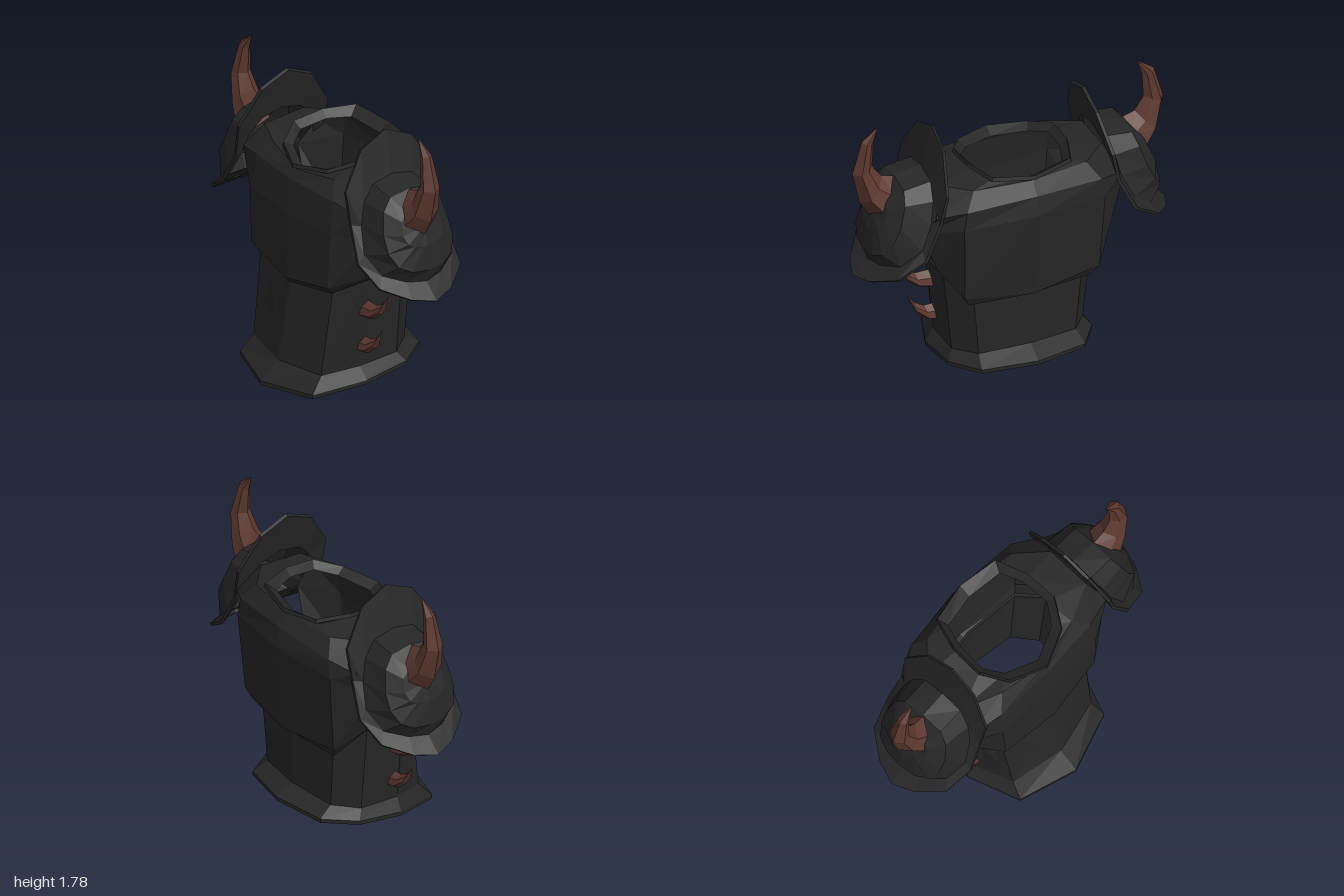
import * as THREE from 'three';

const plate = new THREE.MeshStandardMaterial({ color: 0x262626, flatShading: true, side: THREE.DoubleSide });
plate.name = 'blackPlate';
const horn = new THREE.MeshStandardMaterial({ color: 0x5c382f, flatShading: true, side: THREE.DoubleSide });
horn.name = 'brownHorn';

// Skin a stack of equal-length point loops; skip(i, j) leaves a quad open
function loft(name, rings, material, skip = () => false) {
  const pos = [];
  for (let i = 0; i < rings.length - 1; i++) {
    const n = rings[i].length;
    for (let j = 0; j < n; j++) {
      if (skip(i, j)) continue;
      const k = (j + 1) % n;
      const a = rings[i][j], b = rings[i][k], c = rings[i + 1][k], d = rings[i + 1][j];
      pos.push(...a, ...b, ...c, ...a, ...c, ...d);
    }
  }
  const geo = new THREE.BufferGeometry();
  geo.setAttribute('position', new THREE.Float32BufferAttribute(pos, 3));
  geo.computeVertexNormals();
  const mesh = new THREE.Mesh(geo, material);
  mesh.name = name;
  return mesh;
}

// Complete a half loop (first and last points lie on the mirror plane)
const mirrorX = h => [...h, ...h.slice(1, -1).reverse().map(([x, y, z]) => [-x, y, z])];
const mirrorZ = h => [...h, ...h.slice(1, -1).reverse().map(([x, y, z]) => [x, y, -z])];
const shift = (ring, dx, dy, dz) => ring.map(([x, y, z]) => [x + dx, y + dy, z + dz]);
const shrink = (ring, k) => ring.map(([x, y, z]) => [x * k, y, z * k]);
// Put rings on the model's left (s = 1) or right (s = -1)
const onSide = (rings, s) => s > 0 ? rings : rings.map(r => r.map(([x, y, z]) => [-x, y, z]).reverse());

// Horn from sections: [upper x, upper y, lower x, lower y, half depth]
function makeHorn(name, sections, s, dx, dy, z) {
  const rings = sections.map(([ux, uy, lx, ly, d]) => {
    const at = (t, w) => [ux + (lx - ux) * t, uy + (ly - uy) * t, w];
    return shift(mirrorZ([at(0, 0), at(0.3, d * 0.8), at(0.7, d), at(1, 0)]), dx, dy, z);
  });
  return loft(name, onSide(rings, s), horn);
}

export function createModel() {
  const model = new THREE.Group();
  model.name = 'hornedBreastplate';

  // Abdomen with flared hem, thick at the lower edge
  const hem = mirrorX([[0, 0, 0.49], [0.36, 0.02, 0.38], [0.475, 0.075, 0.07], [0.46, 0.11, -0.22], [0.33, 0.13, -0.41], [0, 0.145, -0.48]]);
  const hemTop = shift(hem, 0, 0.025, 0);
  const waist = mirrorX([[0, 0.13, 0.37], [0.335, 0.14, 0.3], [0.42, 0.175, 0.08], [0.42, 0.19, -0.18], [0.31, 0.21, -0.32], [0, 0.23, -0.37]]);
  const midriff = mirrorX([[0, 0.76, 0.25], [0.36, 0.77, 0.22], [0.48, 0.79, 0.08], [0.48, 0.79, -0.18], [0.36, 0.78, -0.33], [0, 0.78, -0.37]]);
  model.add(loft('abdomen', [shrink(midriff, 0.96), shrink(waist, 0.95), shrink(hem, 0.97), hem, hemTop, waist, midriff, shrink(midriff, 0.96)], plate));

  // Chest shell with open armholes
  const neck = mirrorX([[0, 1.34, 0.19], [0.2, 1.37, 0.11], [0.28, 1.41, 0], [0.27, 1.43, -0.18], [0.22, 1.42, -0.32], [0, 1.4, -0.355]]);
  const chest = [
    mirrorX([[0, 0.6, 0.267], [0.36, 0.67, 0.24], [0.49, 0.76, 0.1], [0.49, 0.76, -0.2], [0.39, 0.6, -0.36], [0, 0.59, -0.385]]),
    mirrorX([[0, 0.65, 0.315], [0.38, 0.72, 0.285], [0.53, 0.8, 0.12], [0.53, 0.8, -0.22], [0.43, 0.67, -0.39], [0, 0.62, -0.43]]),
    mirrorX([[0, 1.05, 0.295], [0.4, 1.08, 0.28], [0.63, 1.08, 0.14], [0.64, 1.1, -0.24], [0.45, 1.18, -0.43], [0, 1.2, -0.49]]),
    mirrorX([[0, 1.27, 0.265], [0.38, 1.28, 0.25], [0.58, 1.24, 0.2], [0.59, 1.25, -0.34], [0.43, 1.3, -0.425], [0, 1.32, -0.46]]),
    mirrorX([[0, 1.33, 0.23], [0.3, 1.37, 0.18], [0.53, 1.37, 0.08], [0.53, 1.39, -0.2], [0.36, 1.4, -0.36], [0, 1.4, -0.4]]),
    neck,
  ];
  model.add(loft('chest', chest, plate, (i, j) => (i === 1 || i === 2) && (j === 2 || j === 7)));

  // Collar flaring out from the neck opening
  const rim = mirrorX([[0, 1.375, 0.26], [0.22, 1.4, 0.17], [0.32, 1.455, 0.02], [0.315, 1.475, -0.18], [0.25, 1.475, -0.38], [0, 1.45, -0.43]]);
  model.add(loft('collar', [shrink(neck, 1.05), shift(shrink(rim, 1.02), 0, -0.025, 0), rim, neck], plate));

  // Pauldron loops run from the top, round the front, to the bottom
  const flange = mirrorZ([[0.49, 1.71, 0], [0.5, 1.63, 0.18], [0.54, 1.41, 0.32], [0.58, 1.21, 0.31], [0.68, 1.0, 0.33], [0.84, 0.89, 0.29], [0.95, 0.82, 0.14], [1.0, 0.795, 0]]);
  const seam = mirrorZ([[0.56, 1.45, 0], [0.56, 1.42, 0.14], [0.58, 1.33, 0.22], [0.61, 1.2, 0.26], [0.68, 1.05, 0.29], [0.8, 0.95, 0.25], [0.87, 0.9, 0.12], [0.9, 0.885, 0]]);
  const dome = mirrorZ([[0.73, 1.42, 0], [0.73, 1.4, 0.14], [0.75, 1.33, 0.2], [0.79, 1.2, 0.23], [0.84, 1.1, 0.23], [0.89, 1.02, 0.19], [0.92, 0.98, 0.11], [0.93, 0.97, 0]]);
  const cap = mirrorZ([[0.82, 1.33, 0], [0.82, 1.32, 0.08], [0.83, 1.28, 0.13], [0.86, 1.2, 0.14], [0.89, 1.15, 0.12], [0.9, 1.13, 0.08], [0.905, 1.12, 0.04], [0.91, 1.12, 0]]);
  const tip = cap.map(() => [0.875, 1.23, 0]);
  const shell = [shift(seam, -0.025, -0.015, 0), shift(flange, -0.018, -0.01, 0), flange, seam, dome, cap, tip]
    .map(r => shift(r, 0, 0, -0.05));

  // Horn sections
  const bigHorn = [
    [0.71, 1.41, 0.86, 1.14, 0.12], [0.81, 1.44, 0.95, 1.29, 0.085], [0.868, 1.525, 0.995, 1.5, 0.058],
    [0.86, 1.68, 0.935, 1.71, 0.033], [0.83, 1.785, 0.835, 1.785, 0.003],
  ];
  const ribHorn = [
    [0.42, 0.615, 0.42, 0.48, 0.055], [0.55, 0.615, 0.53, 0.515, 0.045],
    [0.61, 0.65, 0.6, 0.575, 0.025], [0.66, 0.71, 0.66, 0.705, 0.003],
  ];

  for (const [s, label] of [[1, 'left'], [-1, 'right']]) {
    model.add(loft(label + 'Pauldron', onSide(shell, s), plate));
    model.add(makeHorn(label + 'ShoulderHorn', bigHorn, s, 0, 0, -0.045));
    model.add(makeHorn(label + 'UpperRibHorn', ribHorn, s, 0, 0, 0.055));
    model.add(makeHorn(label + 'LowerRibHorn', ribHorn, s, -0.06, -0.245, 0.055));
  }
  return model;
}
